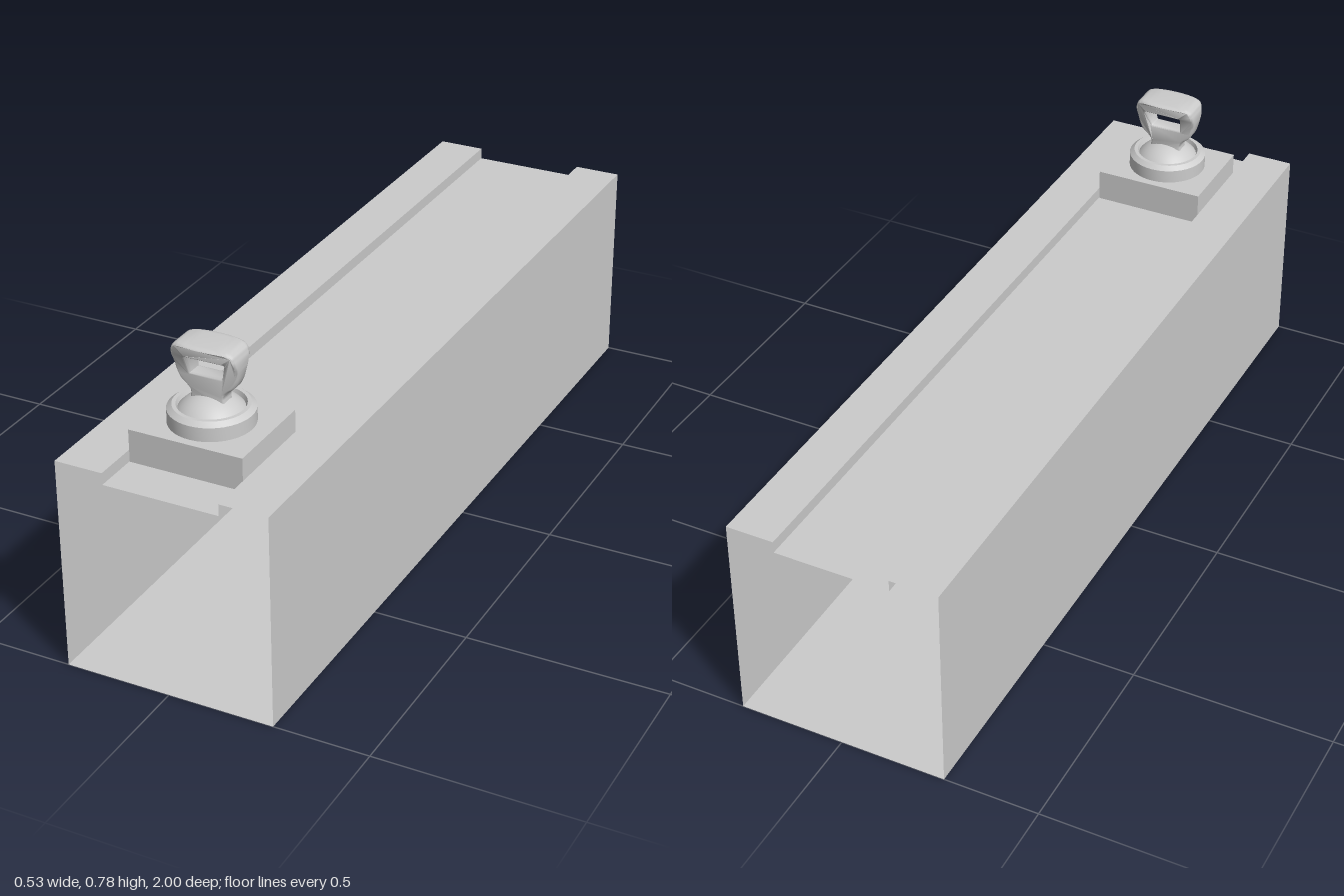
import * as THREE from 'three';
import { toCreasedNormals } from 'three/addons/utils/BufferGeometryUtils.js';

const grey = new THREE.MeshStandardMaterial({ color: 0xcccccc });
const greyDouble = new THREE.MeshStandardMaterial({ color: 0xcccccc, side: THREE.DoubleSide });
const KNOB_Z = 0.77;

function part(name, geometry, material = grey) {
  const mesh = new THREE.Mesh(geometry, material);
  mesh.name = name;
  return mesh;
}

// Thin open-ended sleeve: one flat strip along z per side of the section
function sleeveGeometry(section) {
  const pos = [];
  section.forEach(([ax, ay], i) => {
    const [bx, by] = section[(i + 1) % section.length];
    pos.push(ax, ay, 1, ax, ay, -1, bx, by, 1, bx, by, 1, ax, ay, -1, bx, by, -1);
  });
  const g = new THREE.BufferGeometry();
  g.setAttribute('position', new THREE.Float32BufferAttribute(pos, 3));
  g.computeVertexNormals();
  return g;
}

// D-shaped handle: extruded outline with a hole, widened in z towards the grip
function handleGeometry() {
  const half = [[0.04, 0.63], [0.036, 0.66], [0.045, 0.675], [0.062, 0.69], [0.073, 0.715],
    [0.077, 0.745], [0.072, 0.769], [0.06, 0.776], [0.03, 0.778]];
  const outline = [...half, ...half.map(([x, y]) => [-x, y]).reverse()]
    .map(([x, y]) => new THREE.Vector2(x, y));
  const shape = new THREE.Shape(new THREE.SplineCurve(outline).getPoints(64));
  const hole = new THREE.Path();
  hole.moveTo(-0.044, 0.701);
  hole.lineTo(-0.049, 0.748);
  hole.quadraticCurveTo(-0.048, 0.754, -0.04, 0.754);
  hole.lineTo(0.05, 0.754);
  hole.quadraticCurveTo(0.058, 0.754, 0.057, 0.746);
  hole.lineTo(0.044, 0.707);
  hole.quadraticCurveTo(0.042, 0.701, 0.036, 0.701);
  hole.closePath();
  shape.holes.push(hole);

  const g = new THREE.ExtrudeGeometry(shape, {
    depth: 0.028, bevelEnabled: true, bevelThickness: 0.006, bevelSize: 0.005,
    bevelSegments: 3, curveSegments: 6,
  });
  g.translate(0, 0, -0.014);
  const p = g.attributes.position;
  for (let i = 0; i < p.count; i++) {
    const x = p.getX(i) / 0.08;
    const widen = THREE.MathUtils.smoothstep(p.getY(i), 0.715, 0.768);
    p.setZ(i, p.getZ(i) * (1 + widen * (1.45 - 0.6 * x * x)));
  }
  return toCreasedNormals(g, 0.7);
}

export function createModel() {
  const model = new THREE.Group();
  model.name = 'sleeveWithKnob';

  // Square sleeve with a shallow track along its top
  model.add(part('sleeve', sleeveGeometry([
    [-0.264, 0], [0.264, 0], [0.264, 0.535], [0.144, 0.535],
    [0.144, 0.506], [-0.144, 0.506], [-0.144, 0.535], [-0.264, 0.535],
  ]), greyDouble));

  // Slider block sitting in the track
  const block = part('sliderBlock', new THREE.BoxGeometry(0.284, 0.081, 0.24));
  block.position.set(0, 0.5475, KNOB_Z);
  model.add(block);

  const knob = new THREE.Group();
  knob.name = 'knob';
  knob.position.z = KNOB_Z;
  model.add(knob);

  // Ball passing through the block
  const ball = part('ball', new THREE.SphereGeometry(0.097, 40, 28));
  ball.position.y = 0.56;
  knob.add(ball);

  // Chamfered collar with a shallow groove round the ball
  const profile = [[0.1, 0.587], [0.1, 0.622], [0.088, 0.632], [0.079, 0.632], [0.074, 0.618]]
    .map(([r, y]) => new THREE.Vector2(r, y));
  knob.add(part('collar', toCreasedNormals(new THREE.LatheGeometry(profile, 40), 0.5), greyDouble));

  knob.add(part('handle', handleGeometry()));
  return model;
}
